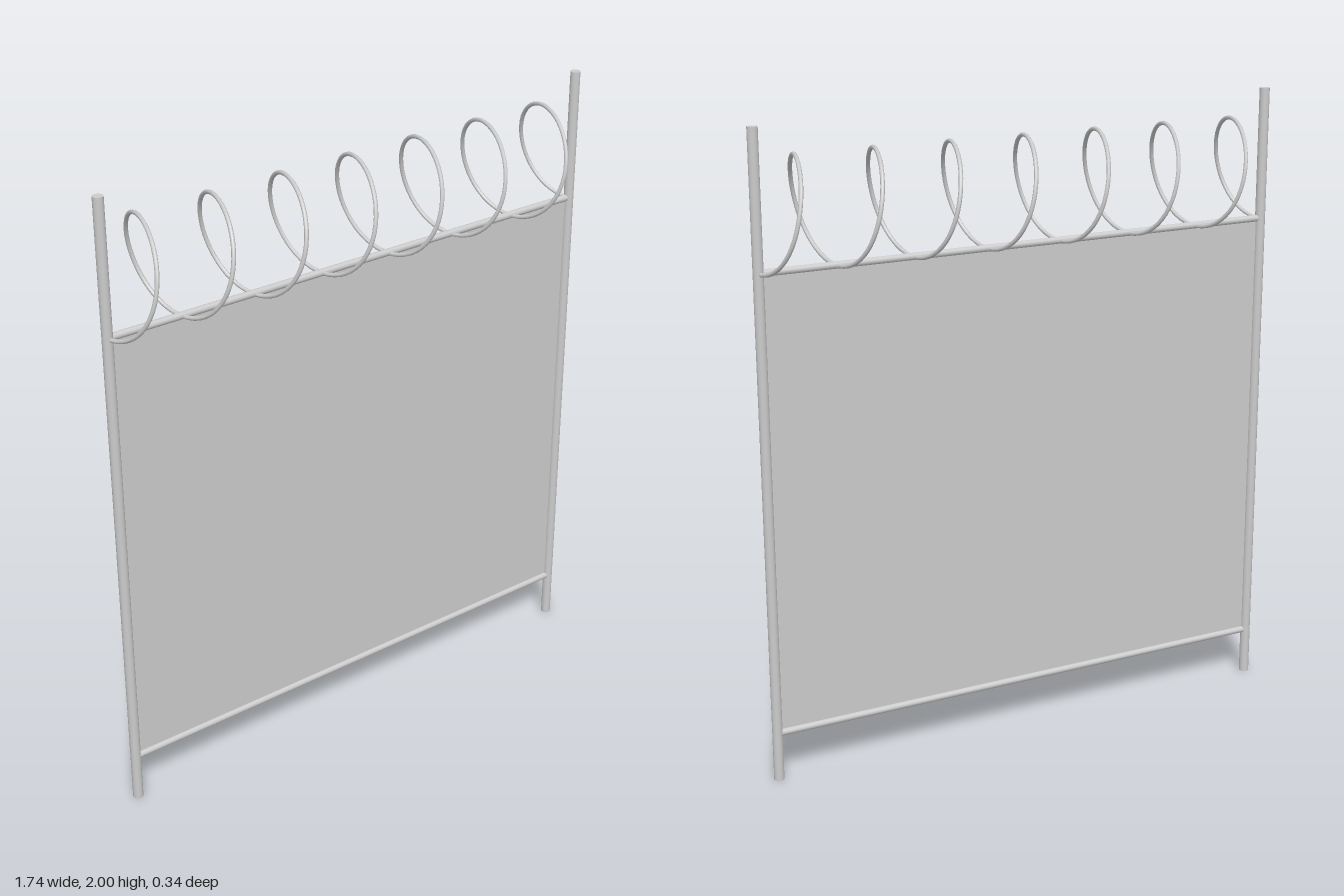
import * as THREE from 'three';

const HALF = 0.855;       // post centre line
const RAIL_TOP = 1.584, RAIL_BOTTOM = 0.154;

// Coil of wire along x, starting at the bottom of its first turn
class CoilCurve extends THREE.Curve {
  constructor(turns, radius, centreY) {
    super();
    Object.assign(this, { turns, radius, centreY });
  }
  getPoint(t, target = new THREE.Vector3()) {
    const a = t * this.turns * Math.PI * 2;
    return target.set(
      -HALF + 2 * HALF * t,
      this.centreY - this.radius * Math.cos(a),
      this.radius * Math.sin(a)
    );
  }
}

export function createModel() {
  const group = new THREE.Group();
  const metal = new THREE.MeshStandardMaterial({ color: 0xcccccc });
  const sheet = new THREE.MeshStandardMaterial({ color: 0xcccccc, side: THREE.DoubleSide });

  const add = (name, geometry, material = metal) => {
    const mesh = new THREE.Mesh(geometry, material);
    mesh.name = name;
    group.add(mesh);
    return mesh;
  };

  // Upright posts
  for (const side of [-1, 1]) {
    add(side > 0 ? 'leftPost' : 'rightPost', new THREE.CylinderGeometry(0.016, 0.016, 2, 12))
      .position.set(side * HALF, 1, 0);
  }

  // Horizontal rails
  for (const [name, y] of [['topRail', RAIL_TOP], ['bottomRail', RAIL_BOTTOM]]) {
    const rail = add(name, new THREE.CylinderGeometry(0.011, 0.011, 2 * HALF, 12));
    rail.rotation.z = Math.PI / 2;
    rail.position.y = y;
  }

  // Mesh panel, a single thin sheet
  add('fencePanel', new THREE.PlaneGeometry(2 * HALF, RAIL_TOP - RAIL_BOTTOM), sheet)
    .position.y = (RAIL_TOP + RAIL_BOTTOM) / 2;

  // Wire coil along the top
  add('wireCoil', new THREE.TubeGeometry(new CoilCurve(7, 0.166, 1.747), 336, 0.0065, 8), sheet);

  return group;
}
